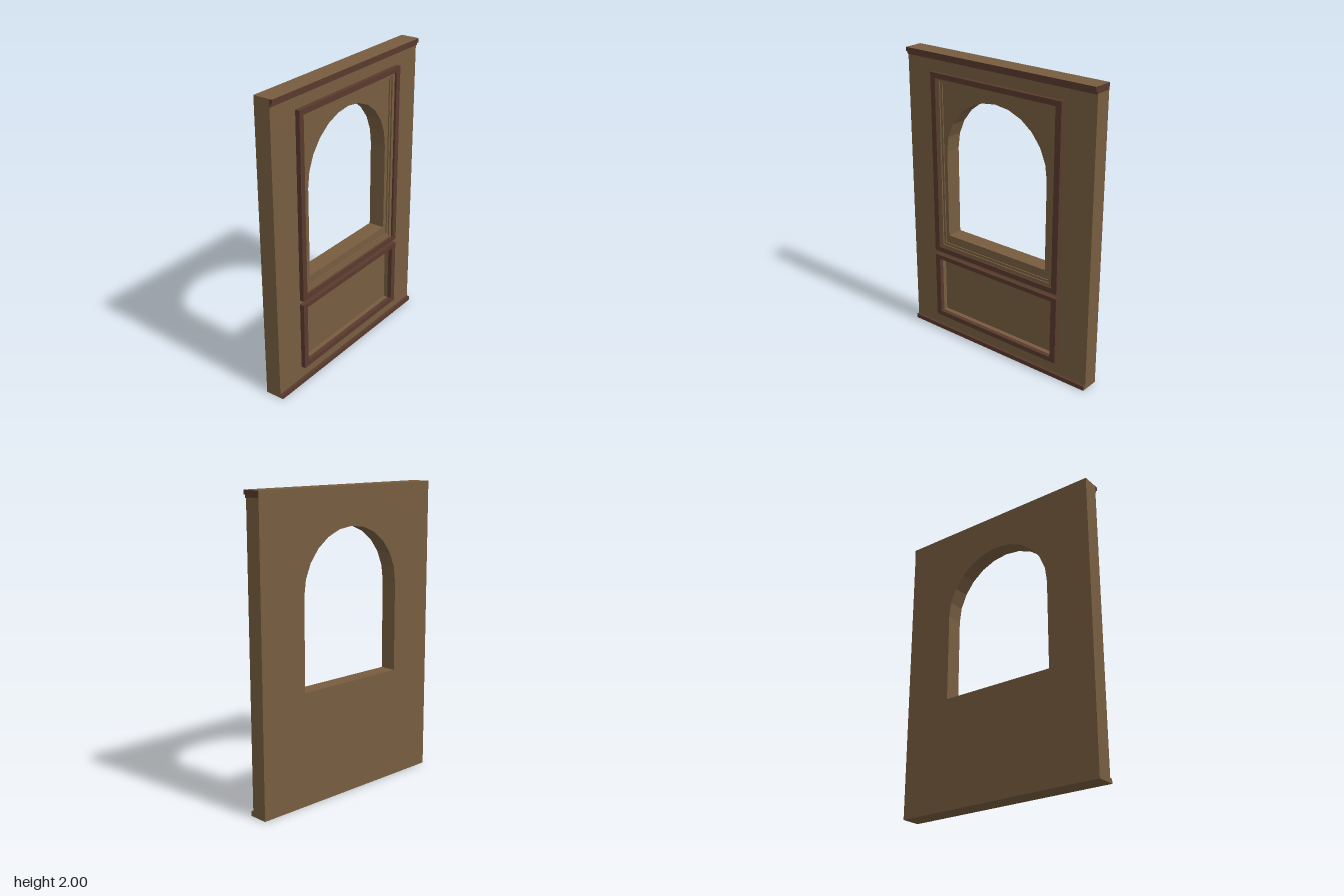
import * as THREE from 'three';

const tan = new THREE.MeshStandardMaterial({ color: 0x775d40 });
tan.name = 'tan wood';
const dark = new THREE.MeshStandardMaterial({ color: 0x59392d });
dark.name = 'dark trim wood';

const HALF = 0.735, BACK = -0.072, FACE = 0.04, RECESS = 0.01;

// Rectangle outline; u runs along -z, v is height
function rect(Type, u0, u1, v0, v1) {
  return new Type([[u0, v0], [u1, v0], [u1, v1], [u0, v1]].map(([u, v]) => new THREE.Vector2(u, v)));
}

// Arched opening with a twelve-sided head
function archHole() {
  const c = -0.01, r = 0.405, spring = 1.35, pts = [];
  pts.push(new THREE.Vector2(c - r, 0.748), new THREE.Vector2(c + r, 0.748));
  for (let i = 0; i <= 12; i++) {
    const a = (i / 12) * Math.PI;
    pts.push(new THREE.Vector2(c + r * Math.cos(a), spring + 0.4 * Math.sin(a)));
  }
  return new THREE.Path(pts);
}

// Extrude an outline from x0 to x1
function slab(name, shape, holes, x0, x1, material) {
  shape.holes.push(...holes);
  const geo = new THREE.ExtrudeGeometry(shape, { depth: x1 - x0, bevelEnabled: false });
  geo.rotateY(Math.PI / 2).translate(x0, 0, 0);
  const mesh = new THREE.Mesh(geo, material);
  mesh.name = name;
  return mesh;
}

// Rectangular frame between an outer and an inner outline
function frame(name, outer, inner, x0, x1, material) {
  return slab(name, rect(THREE.Shape, ...outer), [rect(THREE.Path, ...inner)], x0, x1, material);
}

function box(name, x0, x1, y0, y1, z0, z1, material) {
  const mesh = new THREE.Mesh(new THREE.BoxGeometry(x1 - x0, y1 - y0, z1 - z0), material);
  mesh.position.set((x0 + x1) / 2, (y0 + y1) / 2, (z0 + z1) / 2);
  mesh.name = name;
  return mesh;
}

export function createModel() {
  const group = new THREE.Group();
  group.name = 'archedWallPanel';
  const wall = [-HALF, HALF, 0, 2];
  const lowerInner = [-0.48, 0.468, 0.15, 0.56];
  const upperInner = [-0.48, 0.468, 0.654, 1.84];
  const stepOne = [-0.455, 0.443, 0.674, 1.823];
  const stepTwo = [-0.44, 0.427, 0.69, 1.807];

  // Wall: back layer, and front layer cut away for the sunken lower panel
  group.add(
    slab('wallBack', rect(THREE.Shape, ...wall), [archHole()], BACK, RECESS, tan),
    slab('wallFront', rect(THREE.Shape, ...wall), [archHole(), rect(THREE.Path, ...lowerInner)], RECESS, FACE, tan),
  );

  // Dark frames and the stepped moulding around the window
  group.add(
    frame('windowFrame', [-0.518, 0.51, 0.62, 1.875], upperInner, FACE, 0.07, dark),
    frame('lowerPanelFrame', [-0.518, 0.51, 0.117, 0.59], lowerInner, FACE, 0.07, dark),
    frame('windowMouldingOuter', upperInner, stepOne, FACE, 0.057, tan),
    frame('windowMouldingInner', stepOne, stepTwo, FACE, 0.048, tan),
  );

  // Trim rails; face order is +x, -x, +y, -y, +z, -z
  group.add(
    box('topRail', FACE, 0.06, 1.972, 2, -HALF, HALF, [dark, dark, tan, dark, dark, dark]),
    box('topRailStep', FACE, 0.047, 1.953, 1.972, -HALF, HALF, dark),
    box('bottomRail', FACE, 0.06, 0, 0.03, -HALF, HALF, [dark, dark, dark, tan, tan, tan]),
    box('railEndPlate', BACK, FACE, 1.957, 2, -HALF - 0.002, -HALF, [dark, dark, tan, dark, dark, dark]),
  );
  return group;
}
